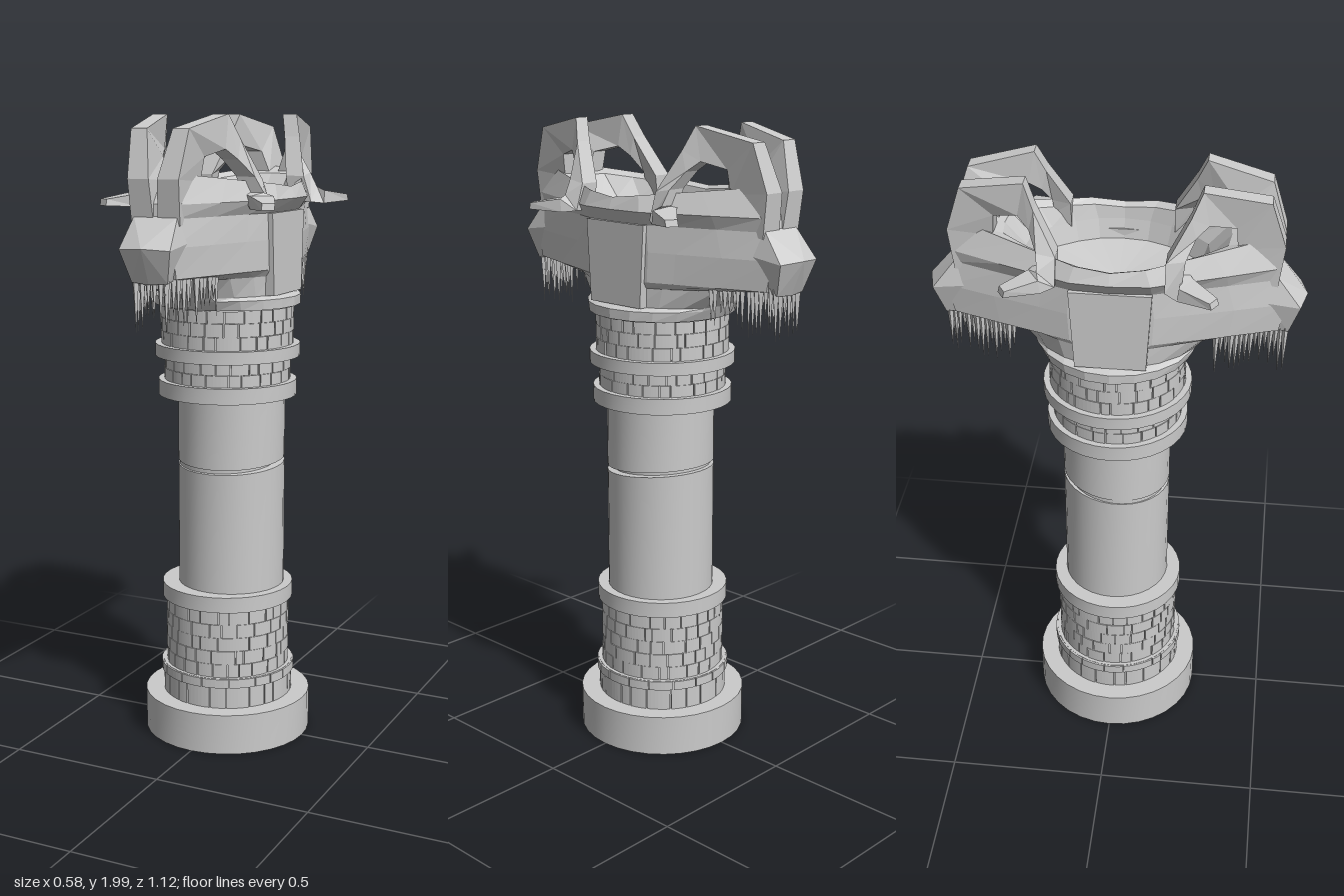
import * as THREE from 'three';
import { toCreasedNormals } from 'three/addons/utils/BufferGeometryUtils.js';
import { ConvexGeometry } from 'three/addons/geometries/ConvexGeometry.js';

const smooth = new THREE.MeshStandardMaterial({ color: 0xcccccc });
const flat = new THREE.MeshStandardMaterial({ color: 0xcccccc, flatShading: true });
const lerp = THREE.MathUtils.lerp;

let seed = 7;
const rnd = () => (seed = (seed * 16807) % 2147483647) / 2147483647;

function add(parent, name, geo, mat = flat) {
  const m = new THREE.Mesh(geo, mat);
  m.name = name;
  parent.add(m);
  return m;
}

// Upright drum between two heights
function drum(parent, name, r, y0, y1) {
  const g = new THREE.CylinderGeometry(r, r, y1 - y0, 32).translate(0, (y0 + y1) / 2, 0);
  add(parent, name, toCreasedNormals(g, 0.6), smooth);
}

// Skin over closed rows of [x, y, z] points, with optional flat ends
function loft(rows, caps) {
  const n = rows[0].length, idx = [];
  for (let r = 0; r < rows.length - 1; r++) for (let k = 0; k < n; k++) {
    const a = r * n + k, b = r * n + (k + 1) % n, c = a + n, d = b + n;
    idx.push(a, c, b, b, c, d);
  }
  if (caps) for (let k = 1; k < n - 1; k++) {
    const t = (rows.length - 1) * n;
    idx.push(0, k, k + 1, t, t + k + 1, t + k);
  }
  const g = new THREE.BufferGeometry();
  g.setAttribute('position', new THREE.Float32BufferAttribute(rows.flat(2), 3));
  g.setIndex(idx);
  const out = g.toNonIndexed();
  out.computeVertexNormals();
  return out;
}

// Courses of curved bricks of uneven width around a core
function brickwork(parent, r, y0, y1, courses, perCourse) {
  const group = new THREE.Group();
  group.name = 'brickwork';
  parent.add(group);
  drum(group, 'mortarCore', r - 0.005, y0, y1);
  const h = (y1 - y0) / courses;
  for (let c = 0; c < courses; c++) {
    const start = rnd() * 6;
    const cuts = Array.from({ length: perCourse }, (_, i) => (i + (rnd() - 0.5) * 0.6) / perCourse * Math.PI * 2 + start);
    cuts.push(cuts[0] + Math.PI * 2);
    for (let i = 0; i < perCourse; i++) {
      const a = cuts[i] + 0.01, b = cuts[i + 1] - 0.01, ro = r + (rnd() - 0.5) * 0.002;
      const s = new THREE.Shape();
      s.absarc(0, 0, ro, a, b, false);
      s.absarc(0, 0, r - 0.02, b, a, true);
      const g = new THREE.ExtrudeGeometry(s, { depth: h - 0.001, bevelEnabled: false, curveSegments: 3 });
      add(group, 'brick', g.rotateX(-Math.PI / 2).translate(0, y0 + c * h, 0));
    }
  }
}

// Shaft drum with one end following the slanted crack
function shaftPiece(parent, name, y0, y1, crackAtTop) {
  const mid = (y0 + y1) / 2;
  const g = new THREE.CylinderGeometry(0.171, 0.171, y1 - y0, 32).translate(0.012, mid, -0.004);
  const p = g.attributes.position;
  for (let i = 0; i < p.count; i++) {
    if ((p.getY(i) > mid) === crackAtTop) p.setY(i, p.getY(i) - p.getZ(i) * 0.08);
  }
  add(parent, name, toCreasedNormals(g, 0.6), smooth);
}

// Mirror a quarter outline (from the side to the front) into a full ring
function ring(q) {
  const m = (sx, sz) => ([x, y, z]) => [x * sx, y, z * sz];
  const back = [...q].reverse();
  return [...q, ...back.slice(1).map(m(-1, 1)), ...q.slice(1).map(m(-1, -1)), ...back.slice(1, -1).map(m(1, -1))];
}

// Bowl: a round foot blending into a boat-shaped plan, then over the rim and down inside
function createBowl() {
  const boat = [[1, 0], [.96, .25], [.82, .42], [.6, .7], [.35, 1], [0, 1]];
  // height, half width, half length, share of boat shape, rise towards the heads
  const levels = [
    [1.41, .23, .23, 0, 0], [1.44, .23, .245, .1, 0], [1.45, .2, .25, .15, 0], [1.51, .2, .3, .4, 0],
    [1.53, .2, .48, 1, 0], [1.62, .2, .5, 1, 0], [1.7, .2, .47, 1, 0],
    [1.74, .23, .465, 1, 0], [1.775, .215, .4, 1, .045], [1.765, .195, .33, .6, .035],
    [1.73, .19, .27, .3, 0], [1.67, .175, .25, .3, 0], [1.63, 0, 0, 0, 0],
  ];
  return loft(levels.map(([y, w, l, share, rise]) => ring(boat.map(([bx, bz], k) => {
    const a = k * Math.PI / 10;
    return [w * lerp(Math.cos(a), bx, share), y + rise * bz, l * lerp(Math.sin(a), bz, share)];
  }))), false);
}

// Curled horn; s = 1 left, -1 right
function createHorn(s) {
  // x, half width, outer y, outer z, inner y, inner z, skew of the section in z
  const sections = [
    [.042, .036, 1.68, .47, 1.7, .35, 0],
    [.048, .034, 1.81, .485, 1.8, .35, 0],
    [.067, .026, 1.95, .44, 1.87, .345, 0],
    [.1, .024, 1.99, .25, 1.89, .27, 0],
    [.122, .026, 1.92, .22, 1.86, .235, 0],
    [.16, .03, 1.8, .155, 1.81, .21, 0],
    [.178, .038, 1.72, .155, 1.765, .205, 0],
    [.215, .03, 1.715, .21, 1.755, .215, .6],
    [.272, .016, 1.72, .3, 1.74, .295, .6],
  ];
  return loft(sections.map(([x, w, yo, zo, yi, zi, skew]) => {
    const d = w * skew;
    const q = [[s * (x + w), yo, zo - d], [s * (x - w), yo, zo + d], [s * (x - w), yi, zi + d], [s * (x + w), yi, zi - d]];
    return s > 0 ? q : q.reverse();
  }), true);
}

function createHead(name) {
  const head = new THREE.Group();
  head.name = name;
  const pts = [[0, 1.62, .56], [0, 1.515, .515]];
  for (const s of [-1, 1]) {
    pts.push([s * .07, 1.705, .47], [s * .082, 1.615, .54], [s * .058, 1.52, .51],
      [s * .088, 1.63, .44], [s * .06, 1.535, .42]);
  }
  add(head, 'snout', new ConvexGeometry(pts.map(p => new THREE.Vector3(...p))));

  for (const s of [-1, 1]) {
    add(head, s > 0 ? 'leftHorn' : 'rightHorn', createHorn(s));
    // Spike rising behind the brow
    const spike = add(head, 'browSpike', new THREE.ConeGeometry(.022, .1, 4));
    spike.position.set(s * .03, 1.81, .385);
    spike.rotation.x = -0.4;
    // Hanging fringe along the jaw edge
    for (let i = 0; i < 15; i++) {
      const t = i / 14, len = .08 + rnd() * .09, r = .009 + rnd() * .004;
      const g = new THREE.ConeGeometry(r, len, 4).rotateX(Math.PI);
      add(head, 'icicle', g.translate(s * (.11 - .055 * t - rnd() * .01), 1.54 - len / 2, .3 + .2 * t));
    }
  }
  // Fringe under the chin
  for (let i = 0; i < 6; i++) {
    const len = .09 + rnd() * .08;
    const g = new THREE.ConeGeometry(.011, len, 4).rotateX(Math.PI);
    add(head, 'chinIcicle', g.translate((i - 2.5) * .02, 1.54 - len / 2, .5));
  }
  return head;
}

export function createModel() {
  const model = new THREE.Group();
  model.name = 'headedColumn';

  // Pedestal
  drum(model, 'baseDisc', 0.27, 0, 0.13);
  brickwork(model, 0.21, 0.13, 0.2, 1, 22);
  brickwork(model, 0.217, 0.2, 0.23, 1, 18);
  brickwork(model, 0.2, 0.23, 0.45, 5, 24);
  drum(model, 'lowerBand', 0.212, 0.45, 0.5);

  // Cracked shaft
  shaftPiece(model, 'lowerShaft', 0.5, 0.9, true);
  shaftPiece(model, 'upperShaft', 0.915, 1.12, false);
  drum(model, 'shaftCore', 0.155, 0.5, 1.12);

  // Neck rings
  drum(model, 'middleBand', 0.22, 1.12, 1.17);
  brickwork(model, 0.2, 1.17, 1.245, 2, 24);
  drum(model, 'upperBand', 0.23, 1.245, 1.285);
  brickwork(model, 0.21, 1.285, 1.41, 3, 24);
  drum(model, 'bowlFoot', 0.215, 1.405, 1.415);

  // Bowl with a raised panel on each side
  add(model, 'bowl', createBowl());
  const trapezoid = new THREE.Shape([[-.105, 1.45], [.105, 1.45], [.12, 1.7], [-.12, 1.7]].map(p => new THREE.Vector2(...p)));
  for (const s of [-1, 1]) {
    const panel = add(model, 'sidePanel', new THREE.ExtrudeGeometry(trapezoid, { depth: .03, bevelEnabled: false }));
    panel.rotation.y = s * Math.PI / 2;
    panel.position.x = s * .177;
  }

  // Two opposed heads
  model.add(createHead('frontHead'));
  const back = createHead('backHead');
  back.rotation.y = Math.PI;
  model.add(back);
  return model;
}
